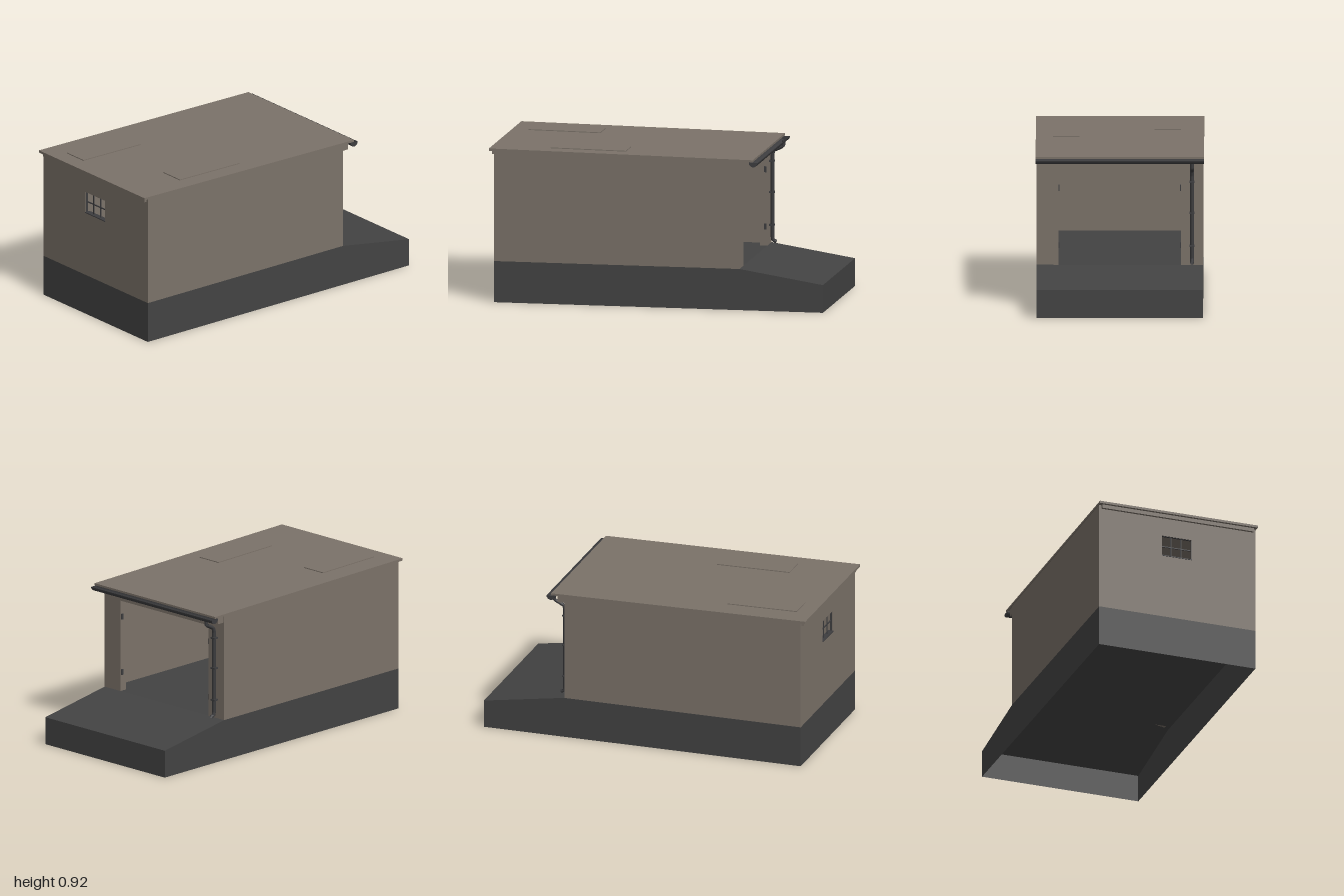
import * as THREE from 'three';

const material = (name, color, side = THREE.FrontSide) => {
  const m = new THREE.MeshStandardMaterial({ color, side });
  m.name = name;
  return m;
};

// Solid with a (z, y) outline, extruded across x
function profileAcross(points, width, x = 0) {
  const shape = new THREE.Shape(points.map(([z, y]) => new THREE.Vector2(z, y)));
  const g = new THREE.ExtrudeGeometry(shape, { depth: width, bevelEnabled: false });
  return g.translate(0, 0, -width / 2).rotateY(-Math.PI / 2).translate(x, 0, 0);
}

// Open-bottomed shell: side faces plus every outline edge except the first
function openShell(outline, h) {
  const pos = [];
  const face = (pts) => {
    for (let i = 1; i < pts.length - 1; i++) pos.push(...pts[0], ...pts[i], ...pts[i + 1]);
  };
  const at = (x, [z, y]) => [x, y, z];
  face(outline.map((p) => at(h, p)));
  face(outline.map((p) => at(-h, p)).reverse());
  for (let i = 1; i < outline.length; i++) {
    const a = outline[i], b = outline[(i + 1) % outline.length];
    face([at(h, a), at(-h, a), at(-h, b), at(h, b)]);
  }
  const g = new THREE.BufferGeometry();
  g.setAttribute('position', new THREE.Float32BufferAttribute(pos, 3));
  g.computeVertexNormals();
  return g;
}

const rect = (Type, x0, x1, y0, y1) => new Type([
  new THREE.Vector2(x0, y0), new THREE.Vector2(x1, y0),
  new THREE.Vector2(x1, y1), new THREE.Vector2(x0, y1),
]);

export function createModel() {
  const group = new THREE.Group();
  const plaster = material('taupe plaster', 0x7b7269);
  const concrete = material('dark concrete', 0x434343, THREE.DoubleSide);
  const metal = material('dark metal', 0x3d3d3f, THREE.DoubleSide);

  const add = (name, geometry, mat, x = 0, y = 0, z = 0) => {
    const mesh = new THREE.Mesh(geometry, mat);
    mesh.name = name;
    mesh.position.set(x, y, z);
    group.add(mesh);
    return mesh;
  };
  const box = (name, mat, w, h, d, x, y, z) => add(name, new THREE.BoxGeometry(w, h, d), mat, x, y, z);

  const W = 0.49, floor = 0.245, front = 0.97, back = -0.5;

  // Foundation with the entrance ramp
  add('foundation', openShell([[front, 0], [-1, 0], [-1, 0.165], [back, floor], [front, floor]], W), concrete);

  // Side walls
  for (const s of [1, -1]) {
    add(s > 0 ? 'leftWall' : 'rightWall', profileAcross(
      [[front, floor], [back, floor], [back, 0.889], [front, 0.906]], 0.03, s * (W - 0.015)), plaster);
  }

  // Front wall with window hole
  const frontShape = rect(THREE.Shape, -W + 0.03, W - 0.03, floor, 0.905);
  frontShape.holes.push(rect(THREE.Path, -0.095, 0.09, 0.64, 0.768));
  add('frontWall', new THREE.ExtrudeGeometry(frontShape, { depth: 0.03, bevelEnabled: false }), plaster, 0, 0, front - 0.03);

  // Window frame and bars
  for (const x of [-0.035, 0.028]) box('windowBar', metal, 0.006, 0.128, 0.006, x, 0.704, 0.955);
  box('windowCrossbar', metal, 0.185, 0.006, 0.006, -0.0025, 0.704, 0.955);
  box('windowSill', metal, 0.187, 0.005, 0.034, -0.0025, 0.64, 0.957);
  for (const x of [-0.095, 0.09]) box('windowFrame', metal, 0.003, 0.128, 0.012, x, 0.704, 0.96);
  box('windowHead', metal, 0.185, 0.003, 0.012, -0.0025, 0.768, 0.96);

  // Doorway: two piers joined by a lintel
  const door = new THREE.Shape([
    [-W + 0.03, floor], [-0.36, floor], [-0.36, 0.8], [0.36, 0.8],
    [0.36, floor], [W - 0.03, floor], [W - 0.03, 0.889], [-W + 0.03, 0.889],
  ].map(([x, y]) => new THREE.Vector2(x, y)));
  add('doorwayWall', new THREE.ExtrudeGeometry(door, { depth: 0.045, bevelEnabled: false }), plaster, 0, 0, back);
  for (const s of [1, -1]) {
    for (const y of [0.36, 0.7]) box('doorHinge', metal, 0.006, 0.035, 0.014, s * 0.358, y, back + 0.012);
  }

  // Roof slab, eaves and trim
  add('roof', profileAcross([[1, 0.902], [-0.58, 0.884], [-0.58, 0.896], [1, 0.916]], 0.99), plaster);
  box('rearEaves', plaster, 0.97, 0.045, 0.045, 0, 0.865, back - 0.0225);
  box('frontTrim', plaster, 0.95, 0.026, 0.015, 0, 0.893, front + 0.0075);

  // Raised roof panels
  const slope = 0.02 / 1.58;
  for (const [x, z, d] of [[-0.28, 0.685, 0.43], [0.315, 0.425, 0.45]]) {
    box('roofPanel', plaster, 0.155, 0.009, d, x, 0.9165 - (1 - z) * slope, z).rotation.x = -Math.atan(slope);
  }

  // Half-round gutter with end caps
  const gutterY = 0.88, gutterZ = -0.583, r = 0.026;
  add('gutter', new THREE.CylinderGeometry(r, r, 0.99, 12, 1, true, Math.PI, Math.PI).rotateZ(Math.PI / 2), metal, 0, gutterY, gutterZ);
  for (const s of [1, -1]) {
    add('gutterCap', new THREE.CircleGeometry(r, 12, Math.PI, Math.PI).rotateY(s * Math.PI / 2), metal, s * 0.495, gutterY, gutterZ);
  }

  // Downpipe
  const px = -0.425;
  const path = new THREE.CurvePath();
  const pts = [[0.865, -0.585], [0.832, -0.583], [0.803, -0.525], [0.78, -0.518], [0.285, -0.518], [0.268, -0.522], [0.26, -0.542]]
    .map(([y, z]) => new THREE.Vector3(px, y, z));
  for (let i = 0; i < pts.length - 1; i++) path.add(new THREE.LineCurve3(pts[i], pts[i + 1]));
  add('downpipe', new THREE.TubeGeometry(path, 60, 0.011, 8), metal);
  for (const y of [0.36, 0.555, 0.74]) box('pipeBracket', metal, 0.03, 0.01, 0.032, px, y, -0.515);

  return group;
}
